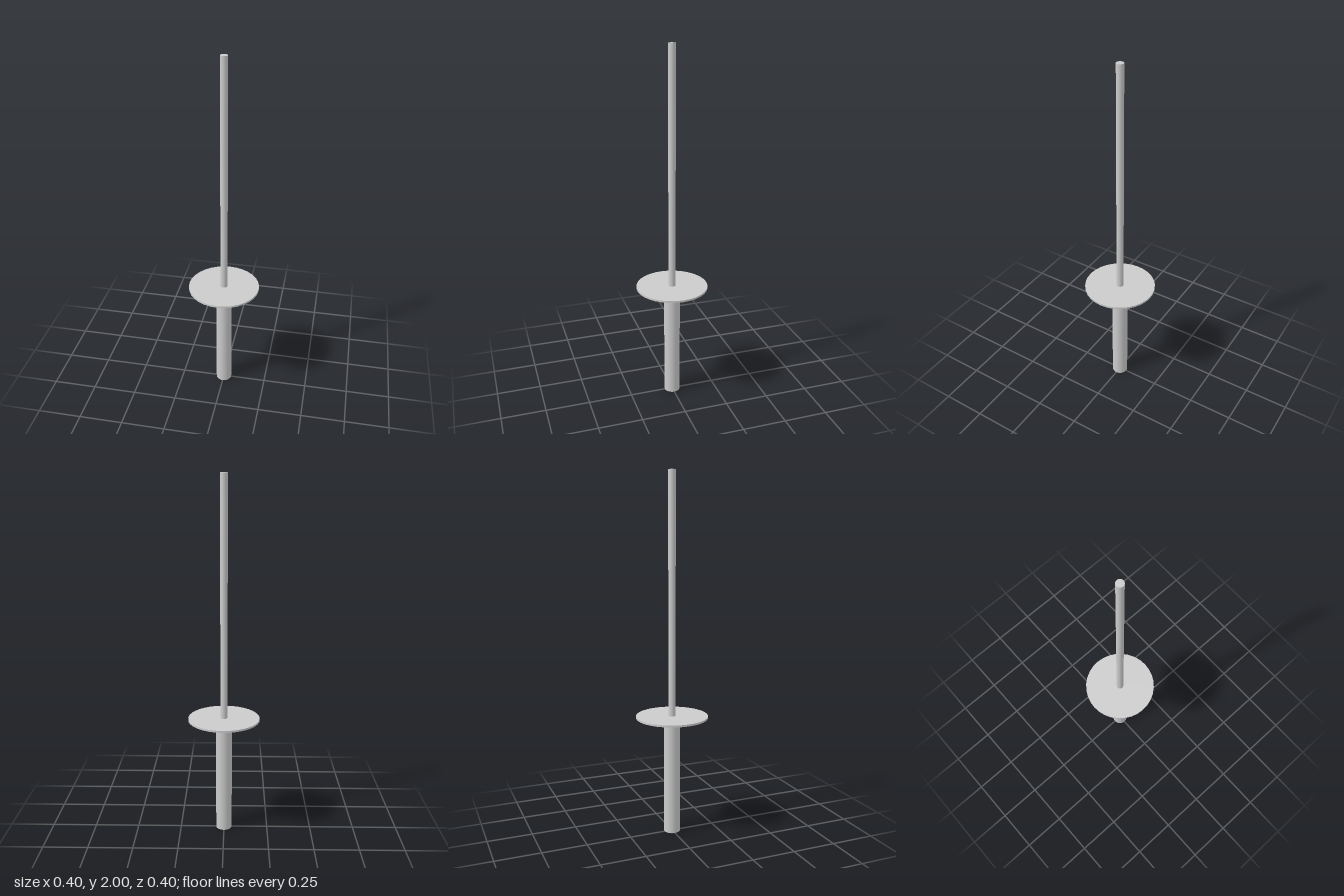
import * as THREE from 'three';

export function createModel() {
  const group = new THREE.Group();
  const material = new THREE.MeshStandardMaterial({ color: 0xcccccc });

  // Upright cylinder spanning two heights
  const rod = (name, radius, bottom, top, sides) => {
    const mesh = new THREE.Mesh(
      new THREE.CylinderGeometry(radius, radius, top - bottom, sides),
      material
    );
    mesh.name = name;
    mesh.position.y = (bottom + top) / 2;
    group.add(mesh);
  };

  rod('handle', 0.045, 0, 0.667, 32); // grip standing on the ground
  rod('guard', 0.2, 0.665, 0.676, 32); // thin round hand guard
  rod('blade', 0.02, 0.67, 2, 32); // long slim shaft

  return group;
}
